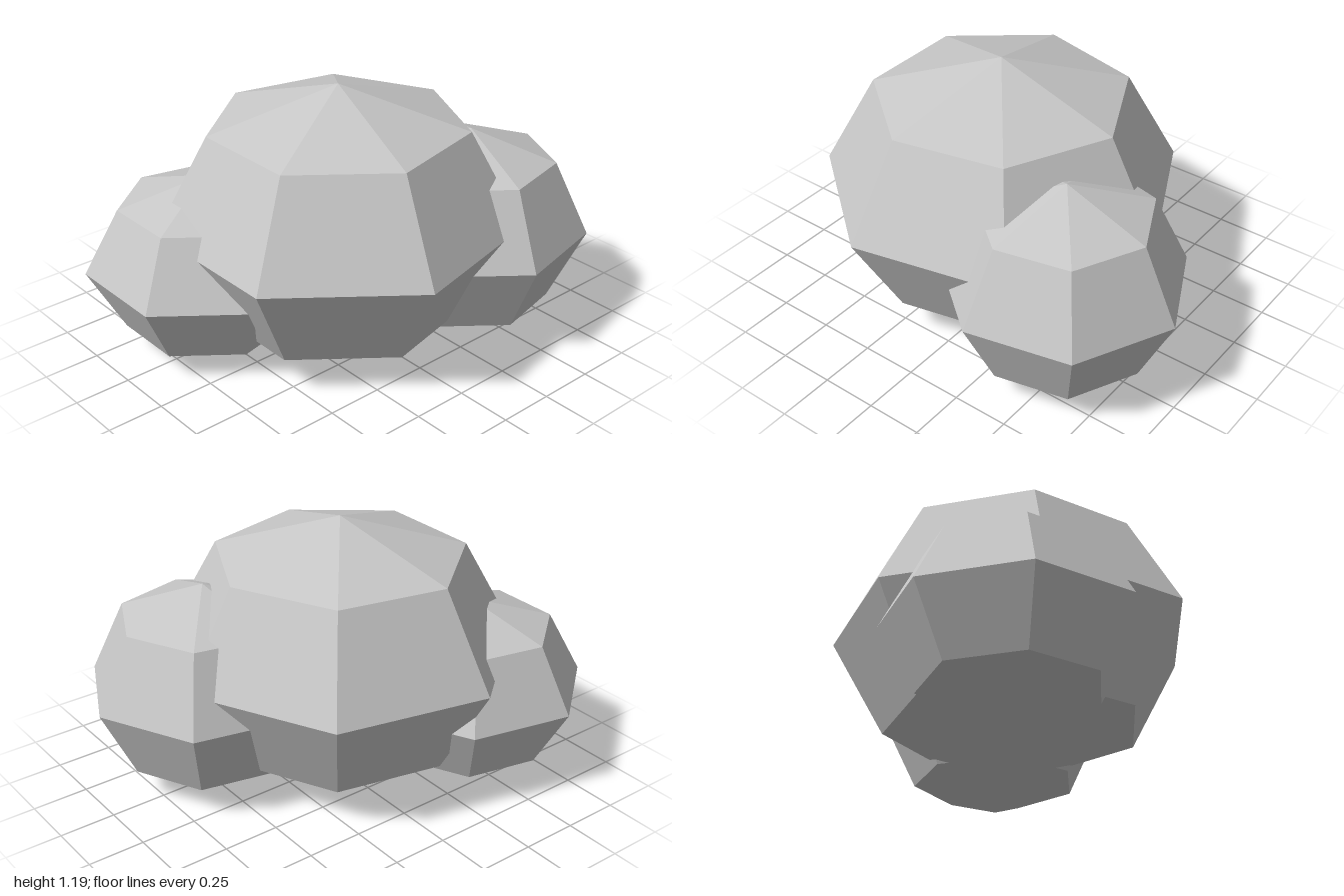
import * as THREE from 'three';

export function createModel() {
  const group = new THREE.Group();
  group.name = 'rockCluster';
  const stone = new THREE.MeshStandardMaterial({ color: 0xc7c7c7, flatShading: true });
  stone.name = 'light stone grey';

  // Seven-sided boulder resting on the ground, with a corner towards +x
  function boulder(name, x, z, radius, halfHeight) {
    const geometry = new THREE.SphereGeometry(1, 7, 4);
    geometry.rotateY(Math.PI);
    geometry.scale(radius, halfHeight, radius);
    const mesh = new THREE.Mesh(geometry, stone);
    mesh.name = name;
    mesh.position.set(x, halfHeight, z);
    group.add(mesh);
  }

  boulder('largeBoulder', -0.06, 0.033, 0.792, 0.596);
  boulder('frontLeftBoulder', 0.469, 0.298, 0.53, 0.464);
  boulder('backRightBoulder', -0.522, -0.298, 0.53, 0.4);

  return group;
}
